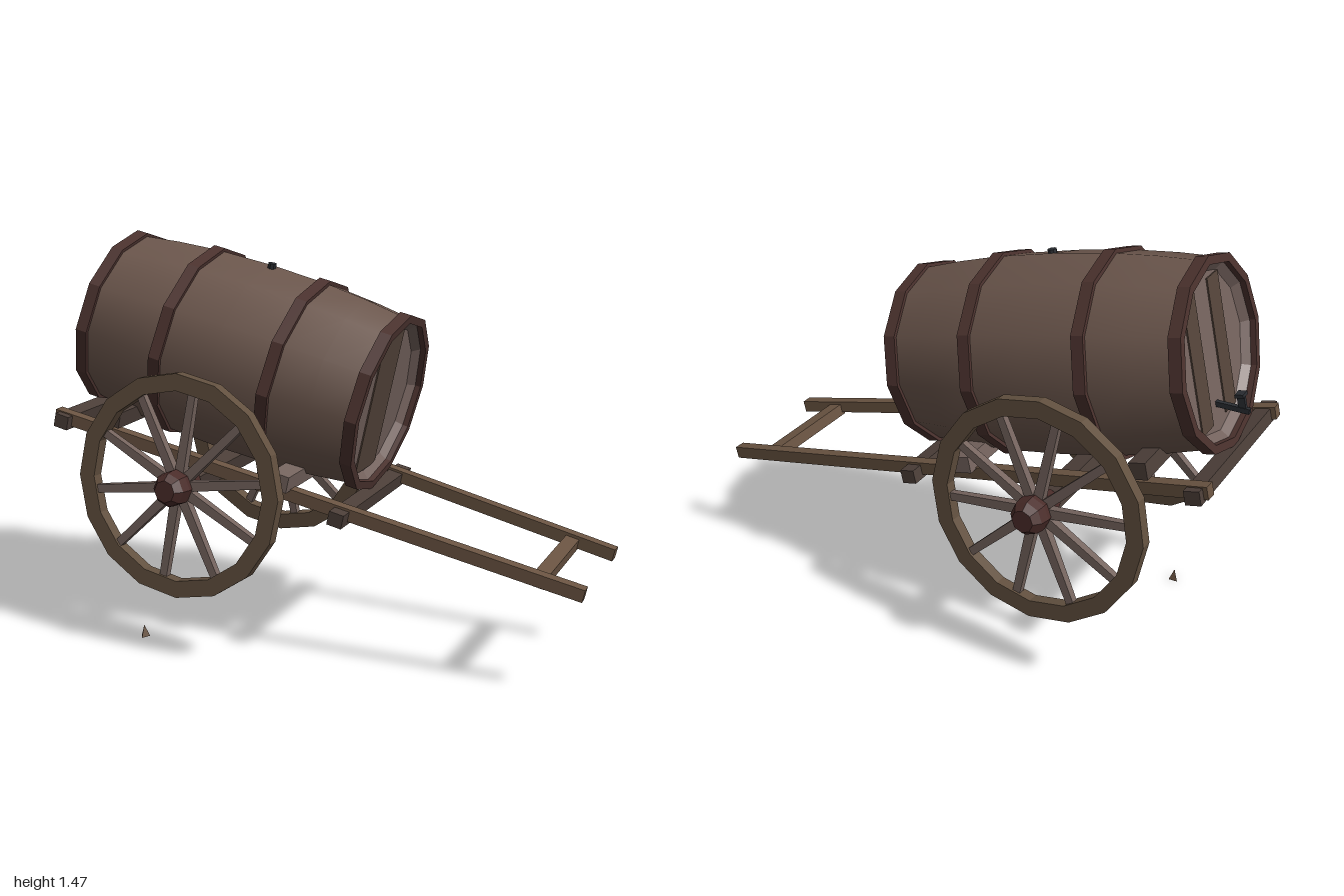
import * as THREE from 'three';

const mat = (color, flatShading = true) =>
  new THREE.MeshStandardMaterial({ color, flatShading, side: THREE.DoubleSide });
const STAVE = mat(0x6b564c, false), HEAD = mat(0x74625d), DARK = mat(0x54443a), IRON = mat(0x4b322e);
const RIM = mat(0x62503f), SPOKE = mat(0x75645e), HUB = mat(0x4a2c29), WOOD = mat(0x6a5442);
const BEAM = mat(0x4c3f39), METAL = mat(0x2b2e33);
const TILT = -0.223;

function add(parent, name, geo, material, x = 0, y = 0, z = 0) {
  const m = new THREE.Mesh(geo, material);
  m.name = name;
  m.position.set(x, y, z);
  parent.add(m);
  return m;
}
const box = (x, y, z) => new THREE.BoxGeometry(x, y, z);
const lathe = (pts, sides) => new THREE.LatheGeometry(pts.map(p => new THREE.Vector2(...p)), sides);
// rectangular ring turned about y
const ring = (r0, r1, h, sides) => lathe([[r0, -h], [r1, -h], [r1, h], [r0, h], [r0, -h]], sides);

function makeBarrel() {
  const g = new THREE.Group();
  g.name = 'barrel';
  add(g, 'staves', lathe([[0.313, -0.55], [0.335, -0.38], [0.349, -0.214], [0.354, 0],
    [0.349, 0.214], [0.335, 0.38], [0.313, 0.55]], 12).rotateZ(-Math.PI / 2), STAVE);
  for (const s of [-1, 1]) {
    // hoops
    add(g, 'endHoop', ring(0.3, 0.33, 0.022, 12).rotateZ(-Math.PI / 2), IRON, s * 0.535);
    add(g, 'middleHoop', ring(0.335, 0.362, 0.022, 12).rotateZ(-Math.PI / 2), IRON, s * 0.214);
    // bevelled lip and recessed head
    add(g, 'lip', lathe([[0.275, s * 0.51], [0.313, s * 0.55]], 12).rotateZ(-Math.PI / 2), HEAD);
    add(g, 'head', new THREE.CircleGeometry(0.277, 12).rotateY(s * Math.PI / 2), HEAD, s * 0.51);
  }
  // dark planks in the heads
  add(g, 'headPlank', box(0.008, 0.53, 0.18), DARK, 0.511);
  for (const s of [-1, 1]) add(g, 'headPlank', box(0.008, 0.47, 0.09), DARK, -0.511, 0, s * 0.1);
  // bung on top
  add(g, 'bung', new THREE.CylinderGeometry(0.016, 0.016, 0.03, 8), METAL, 0.01, 0.35, 0.015);
  // tap
  const tap = new THREE.Group();
  tap.name = 'tap';
  tap.position.set(-0.51, -0.19, 0);
  add(tap, 'tapPipe', box(0.13, 0.018, 0.018), METAL, -0.05, 0, 0).rotation.z = -TILT;
  add(tap, 'tapHandle', box(0.026, 0.06, 0.014), METAL, -0.09, 0.02, 0);
  add(tap, 'tapGrip', box(0.03, 0.012, 0.04), METAL, -0.09, 0.045, 0);
  g.add(tap);
  return g;
}

// wheel in the xy plane, outside facing +z
function makeWheel() {
  const g = new THREE.Group();
  add(g, 'rim', ring(0.342, 0.403, 0.022, 16).rotateX(Math.PI / 2), RIM);
  add(g, 'hub', lathe([[0, -0.085], [0.042, -0.085], [0.06, -0.03], [0.065, 0.035],
    [0.06, 0.07], [0.04, 0.097], [0, 0.097]], 8).rotateX(Math.PI / 2), HUB);
  for (let i = 0; i < 10; i++) {
    const spoke = new THREE.CylinderGeometry(0.02, 0.025, 0.31, 4).rotateY(Math.PI / 4)
      .scale(1, 1, 0.9).translate(0, 0.2, 0);
    add(g, 'spoke', spoke, SPOKE).rotation.z = -0.175 + i * Math.PI / 5;
  }
  return g;
}

export function createModel() {
  const model = new THREE.Group();
  model.name = 'barrelCart';

  // tilted bed, with its origin on the axle
  const bed = new THREE.Group();
  bed.name = 'bed';
  bed.position.set(-0.42, 0.64, 0);
  bed.rotation.z = TILT;
  model.add(bed);

  const barrel = makeBarrel();
  barrel.position.set(0.005, 0.395, 0);
  bed.add(barrel);

  // shafts converge toward the pulling end
  for (const s of [-1, 1])
    add(bed, 'shaft', box(2.02, 0.045, 0.042), WOOD, 0.425, 0.053, s * 0.265).rotation.y = s * 0.0426;
  add(bed, 'rearCrossbeam', box(0.055, 0.05, 0.71), BEAM, -0.54, 0.046);
  add(bed, 'middleCrossbeam', box(0.055, 0.05, 0.66), BEAM, 0.564, 0.042);
  add(bed, 'pullBar', box(0.05, 0.045, 0.45), WOOD, 1.275, 0.042);
  // cradle beams under the barrel
  add(bed, 'frontCradle', box(0.07, 0.06, 0.65), SPOKE, 0.33, 0.1);
  add(bed, 'rearCradle', box(0.06, 0.06, 0.65), BEAM, -0.35, 0.115);
  add(bed, 'axle', box(0.07, 0.06, 0.78), BEAM, 0, -0.01);

  // wheels, slightly canted
  for (const s of [-1, 1]) {
    const mount = new THREE.Group();
    mount.name = s > 0 ? 'frontWheel' : 'backWheel';
    mount.position.set(-0.42, 0.635, s * 0.412);
    mount.rotation.set(-s * 0.055, -0.04, 0);
    const wheel = makeWheel();
    wheel.name = 'wheel';
    if (s < 0) wheel.rotation.y = Math.PI;
    mount.add(wheel);
    model.add(mount);
  }

  // loose wood chip on the ground
  add(model, 'woodChip', new THREE.ConeGeometry(0.02, 0.045, 3), WOOD, -0.64, 0.0225, 0.315);
  return model;
}
